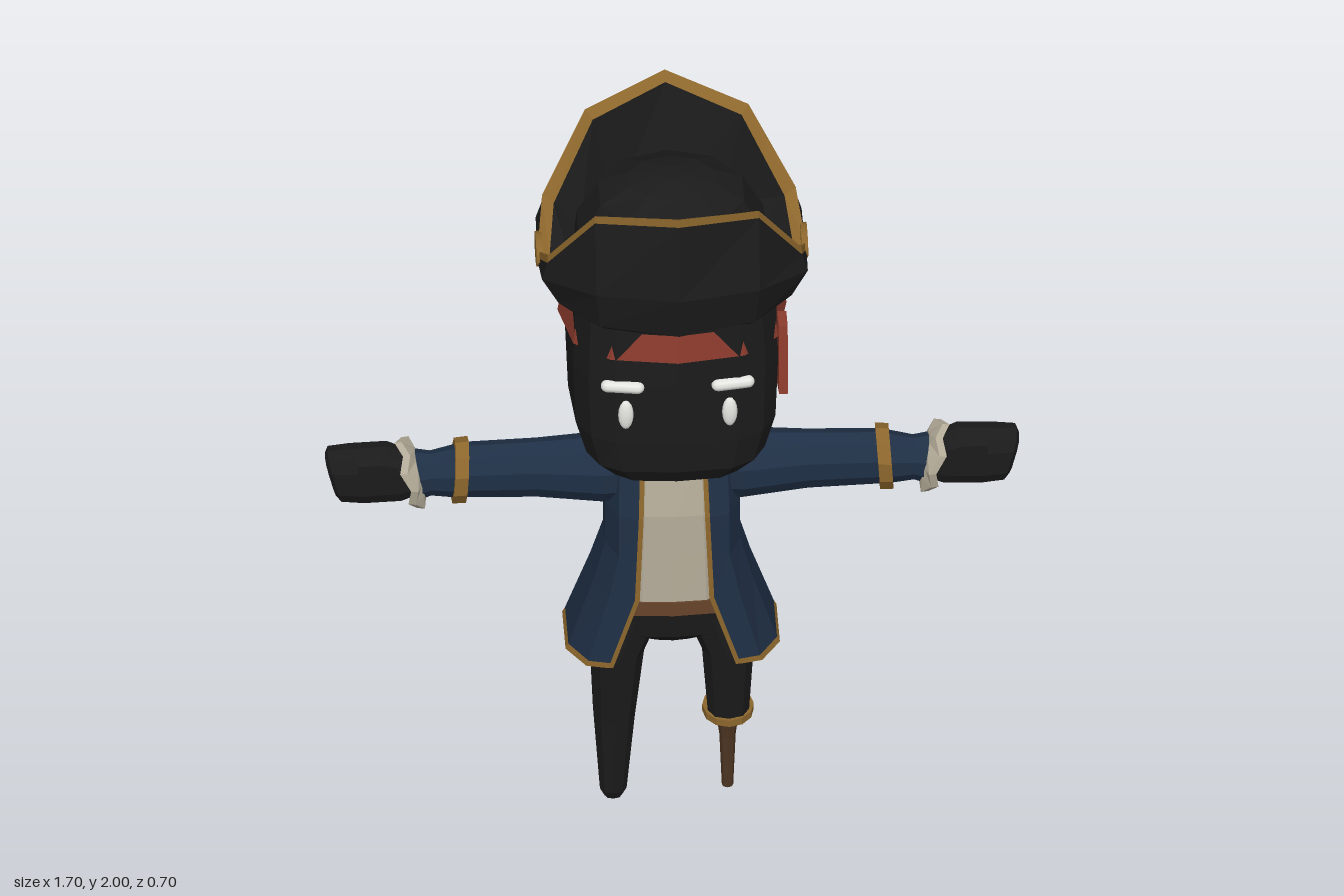
import * as THREE from 'three';

const mat = (name, color, side = THREE.FrontSide) => {
  const m = new THREE.MeshStandardMaterial({ color, side });
  m.name = name;
  return m;
};

// Joins rings of points into a faceted skin; pick(i, j) gives the material of each cell.
function loft(name, rings, mats, { closed = true, caps = true, pick = () => 0 } = {}) {
  if (!Array.isArray(mats)) mats = [mats];
  const buckets = mats.map(() => []);
  const n = rings[0].length, last = rings.length - 1;
  for (let i = 0; i < last; i++) {
    for (let j = 0; j < (closed ? n : n - 1); j++) {
      const k = (j + 1) % n, [a, b, c, d] = [rings[i][j], rings[i][k], rings[i + 1][k], rings[i + 1][j]];
      buckets[pick(i, j)].push([a, b, c], [a, c, d]);
    }
  }
  if (caps && closed) {
    for (const [ring, flip, m] of [[rings[0], true, pick(0, 0)], [rings[last], false, pick(last - 1, 0)]]) {
      const mid = [0, 1, 2].map(t => ring.reduce((s, p) => s + p[t], 0) / n);
      ring.forEach((p, j) => {
        const q = ring[(j + 1) % n];
        buckets[m].push(flip ? [mid, q, p] : [mid, p, q]);
      });
    }
  }
  // Turn the skin outward if its signed volume is negative
  const v = p => new THREE.Vector3(...p);
  const volume = buckets.flat().reduce((s, [a, b, c]) => s + v(a).dot(v(b).cross(v(c))), 0);
  const geo = new THREE.BufferGeometry(), pos = [];
  buckets.forEach((tris, m) => {
    const start = pos.length / 3;
    for (const [a, b, c] of tris) pos.push(...a, ...(volume < 0 ? [...c, ...b] : [...b, ...c]));
    geo.addGroup(start, pos.length / 3 - start, m);
  });
  geo.setAttribute('position', new THREE.Float32BufferAttribute(pos, 3));
  geo.computeVertexNormals();
  const mesh = new THREE.Mesh(geo, mats.length > 1 ? mats : mats[0]);
  mesh.name = name;
  return mesh;
}

// Points of a rounded outline, as pairs in the range -1 to 1
function outline(n, power) {
  const f = t => Math.sign(t) * Math.abs(t) ** (2 / power);
  return Array.from({ length: n }, (_, i) => {
    const a = i / n * Math.PI * 2;
    return [f(Math.round(Math.sin(a) * 1e6) / 1e6), f(Math.round(Math.cos(a) * 1e6) / 1e6)];
  });
}

// Level ring: half width, back and front z, optional rise toward the front
const level = (y, rx, zb, zf, { n = 12, power = 2, cx = 0, tilt = 0 } = {}) =>
  outline(n, power).map(([u, w]) => {
    const z = (zf + zb) / 2 + w * (zf - zb) / 2;
    return [cx + u * rx, y + tilt * z, z];
  });

// Upright ring along an arm on side s
const upright = (s, x, cy, ry, rz, { n = 10, power = 2, lean = 0, cz = 0.005 } = {}) =>
  outline(n, power).map(([u, w]) => [s * (x + lean * w * ry), cy + w * ry, cz + u * rz]);

// Hat ring from a quarter [x, z, y] table running front to side
const hatRing = (quarter, tilt, scale = 1, drop = 0) =>
  Array.from({ length: 12 }, (_, k) => {
    const q = k <= 3 ? k : k <= 6 ? 6 - k : k <= 9 ? k - 6 : 12 - k;
    const [x, z0, y] = quarter[q];
    const z = z0 * (k <= 3 || k >= 9 ? 1 : -1) * scale;
    return [(k <= 6 ? 1 : -1) * x * scale, y + tilt * z - drop, z - 0.01 * (q / 3)];
  });

export function createModel() {
  const model = new THREE.Group();
  const black = mat('black', 0x1b1b1b);
  const blue = mat('navy', 0x1f2f45, THREE.DoubleSide);
  const gold = mat('gold', 0x8c662c, THREE.DoubleSide);
  const red = mat('red', 0x8c3b2d, THREE.DoubleSide);
  const cream = mat('cream', 0xb3ab98, THREE.DoubleSide);
  const white = mat('white', 0xe6e6e2);
  const brown = mat('beltBrown', 0x66432a);
  const wood = mat('wood', 0x4d3522);
  const add = (...parts) => model.add(...parts);

  // Head and neck
  const headRings = [[1.1, 0.1, -0.1, 0.11], [1.13, 0.18, -0.16, 0.235], [1.18, 0.228, -0.195, 0.265],
    [1.27, 0.255, -0.235, 0.27], [1.45, 0.262, -0.243, 0.272], [1.62, 0.255, -0.24, 0.265]];
  add(loft('head', headRings.map(([y, rx, zb, zf]) => level(y, rx, zb, zf, { n: 16, power: 3.6 })), black));
  add(loft('neck', [level(1.05, 0.08, -0.06, 0.06), level(1.13, 0.06, -0.05, 0.05)], black));

  // Eyes and brows
  for (const s of [-1, 1]) {
    const eye = new THREE.Mesh(new THREE.SphereGeometry(1, 10, 8), white);
    eye.name = 'eye';
    eye.scale.set(0.019, 0.043, 0.012);
    eye.position.set(s * 0.127, 1.362, 0.264);
    const brow = new THREE.Mesh(new THREE.CapsuleGeometry(0.016, 0.075, 4, 8), white);
    brow.name = 'brow';
    brow.rotation.set(0, s * 0.15, Math.PI / 2);
    brow.position.set(s * 0.135, 1.447, 0.262);
    add(eye, brow);
  }

  // Headband and its hanging tail
  add(loft('headband', [
    level(1.492, 0.28, -0.28, 0.285, { power: 2.6, tilt: 0.13 }),
    level(1.57, 0.268, -0.262, 0.275, { power: 2.6, tilt: 0.13 })], red, { caps: false }));
  add(loft('headbandTail', [
    [[0.25, 1.57, 0.14], [0.25, 1.57, 0.2], [0.272, 1.57, 0.2], [0.272, 1.57, 0.14]],
    [[0.25, 1.34, 0.125], [0.25, 1.38, 0.225], [0.272, 1.38, 0.225], [0.272, 1.34, 0.125]]], red));

  // Hat with turned-up brim
  const base = [[0, 0.27, 1.575], [0.17, 0.23, 1.57], [0.255, 0.13, 1.565], [0.27, 0, 1.56]];
  const low = [[0, 0.325, 1.61], [0.19, 0.27, 1.61], [0.285, 0.15, 1.605], [0.3, 0, 1.595]];
  const mid = [[0, 0.352, 1.74], [0.2, 0.285, 1.72], [0.325, 0.14, 1.675], [0.328, 0, 1.635]];
  const rim = [[0, 0.325, 1.984], [0.2, 0.23, 1.935], [0.31, 0.13, 1.745], [0.328, 0, 1.665]];
  const floor = [[0, 0.2, 1.66], [0.13, 0.18, 1.655], [0.22, 0.1, 1.65], [0.25, 0, 1.64]];
  add(loft('hatBrim', [hatRing(base, 0.12), hatRing(low, 0.1), hatRing(mid, 0.08), hatRing(rim, 0.05, 1.004, 0.022),
    hatRing(rim, 0.05), hatRing(rim, 0.05, 0.91, 0.018), hatRing(floor, 0)],
  [black, gold], { pick: i => (i === 3 || i === 4 ? 1 : 0) }));
  add(loft('hatCrown', [[1.6, 0.25, 0.22], [1.72, 0.24, 0.21], [1.82, 0.185, 0.165], [1.86, 0.11, 0.09], [1.875, 0.03, 0.03]]
    .map(([y, rx, rz]) => level(y, rx, -0.03 - rz, -0.03 + rz, { n: 10 })), black));
  for (const s of [-1, 1]) {
    // Folded lip at the lowest point of the brim
    const lip = new THREE.Mesh(new THREE.CylinderGeometry(0.055, 0.055, 0.016, 10), gold);
    lip.name = 'brimLip';
    lip.rotation.z = Math.PI / 2;
    lip.scale.set(0.65, 1, 1);
    lip.position.set(s * 0.324, 1.66, -0.025);
    add(lip);
  }

  // Shirt, belt and hips
  add(loft('shirt', [[0.64, 0.1, 0.112], [0.8, 0.095, 0.108], [0.92, 0.09, 0.104], [1.07, 0.085, 0.075], [1.098, 0.075, 0.046]]
    .map(([y, rx, zf]) => level(y, rx, -0.04, zf, { n: 12, power: 6 })), cream));
  add(loft('belt', [level(0.625, 0.15, -0.1, 0.117, { power: 4 }), level(0.665, 0.14, -0.08, 0.117, { power: 4 })], brown));
  add(loft('hips', [[0.5, 0.06, -0.05, 0.05], [0.54, 0.15, -0.085, 0.09], [0.64, 0.16, -0.095, 0.105]]
    .map(([y, rx, zb, zf]) => level(y, rx, zb, zf, { power: 3 })), black));

  // Open coat with gold hem and front edges
  const coatRows = [[0.475, 0.262, 0.12, -0.19, 0.15], [0.49, 0.255, 0.12, -0.186, 0.145], [0.68, 0.195, 0.12, -0.135, 0.085],
    [0.8, 0.165, 0.115, -0.092, 0.08], [0.92, 0.165, 0.11, -0.09, 0.075], [1.07, 0.16, 0.08, -0.08, 0.07], [1.1, 0.1, 0.05, -0.055, 0.06]];
  const coatRings = coatRows.map(([y, w, zf, zb, a]) => {
    const half = [[a, zf], [a + 0.012, zf], [0.82 * w, 0.9 * zf], [w, 0.3 * zf], [w, 0.6 * zb], [0.6 * w, 0.95 * zb]];
    return [...half.map(([x, z]) => [x, y, z]), [0, y, zb], ...half.reverse().map(([x, z]) => [-x, y, z])];
  });
  add(loft('coat', coatRings, [blue, gold], { closed: false, pick: (i, j) => (i === 0 || j === 0 || j === 11 ? 1 : 0) }));

  // Arms
  for (const s of [-1, 1]) {
    const tube = (name, rows, m, opt) => add(loft(name, rows.map(r => upright(s, ...r, opt)), m));
    tube('sleeve', [[0.09, 1, 0.085, 0.06], [0.17, 1.008, 0.09, 0.08], [0.33, 1.012, 0.078, 0.062], [0.51, 1.012, 0.072, 0.06]], blue);
    tube('goldCuff', [[0.502, 1.012, 0.086, 0.074], [0.535, 1.01, 0.084, 0.074]], gold, { lean: -0.06 });
    tube('lowerSleeve', [[0.52, 1.01, 0.07, 0.062], [0.59, 1.005, 0.058, 0.05], [0.635, 1, 0.07, 0.06]], blue);
    tube('hand', [[0.61, 1.01, 0.045, 0.04], [0.68, 1.015, 0.075, 0.052], [0.77, 1.012, 0.074, 0.054], [0.825, 1.012, 0.07, 0.048], [0.835, 1.012, 0.055, 0.035]],
      black, { power: 3, lean: 0.25 });
    tube('thumb', [[0.67, 1.05, 0.03, 0.02], [0.71, 1.062, 0.03, 0.022], [0.77, 1.06, 0.022, 0.016]], black, { n: 6, cz: 0.045 });
    // Ruffle with a zigzag outer edge
    const ruffle = [[0.615, 0.062], [0.632, 0.09], [0.65, 0.088], [0.64, 0.055]].map(([x, r], i) =>
      upright(s, x, 1.008, r * 1.05, r * 0.88, { n: 12, lean: 0.22 }).map(([px, y, z], j) =>
        [px + s * (i === 1 || i === 2 ? (j % 2 ? -0.008 : 0.008) : 0), y, z]));
    add(loft('ruffle', ruffle, cream));
  }

  // Right leg
  add(loft('rightLeg', [[0.0, -0.144, 0.022, 0.024], [0.025, -0.144, 0.034, 0.036], [0.25, -0.142, 0.052, 0.06], [0.46, -0.135, 0.068, 0.085], [0.6, -0.09, 0.075, 0.09]]
    .map(([y, cx, rx, rz]) => level(y, rx, -rz, rz, { n: 10, power: 2.4, cx })), black));
  // Left leg, ring and wooden peg
  add(loft('leftLeg', [[0.25, 0.137, 0.052, 0.06], [0.46, 0.135, 0.066, 0.085], [0.6, 0.09, 0.075, 0.09]]
    .map(([y, cx, rx, rz]) => level(y, rx, -rz, rz, { n: 10, power: 2.4, cx })), black));
  add(loft('legRing', [level(0.243, 0.063, -0.07, 0.07, { cx: 0.137 }), level(0.262, 0.063, -0.07, 0.07, { cx: 0.137 })], gold));
  add(loft('pegLeg', [[0.015, 0.014], [0.17, 0.02], [0.25, 0.03]]
    .map(([y, r]) => level(y, r, -r, r, { n: 8, cx: 0.136 })), wood));
  return model;
}
